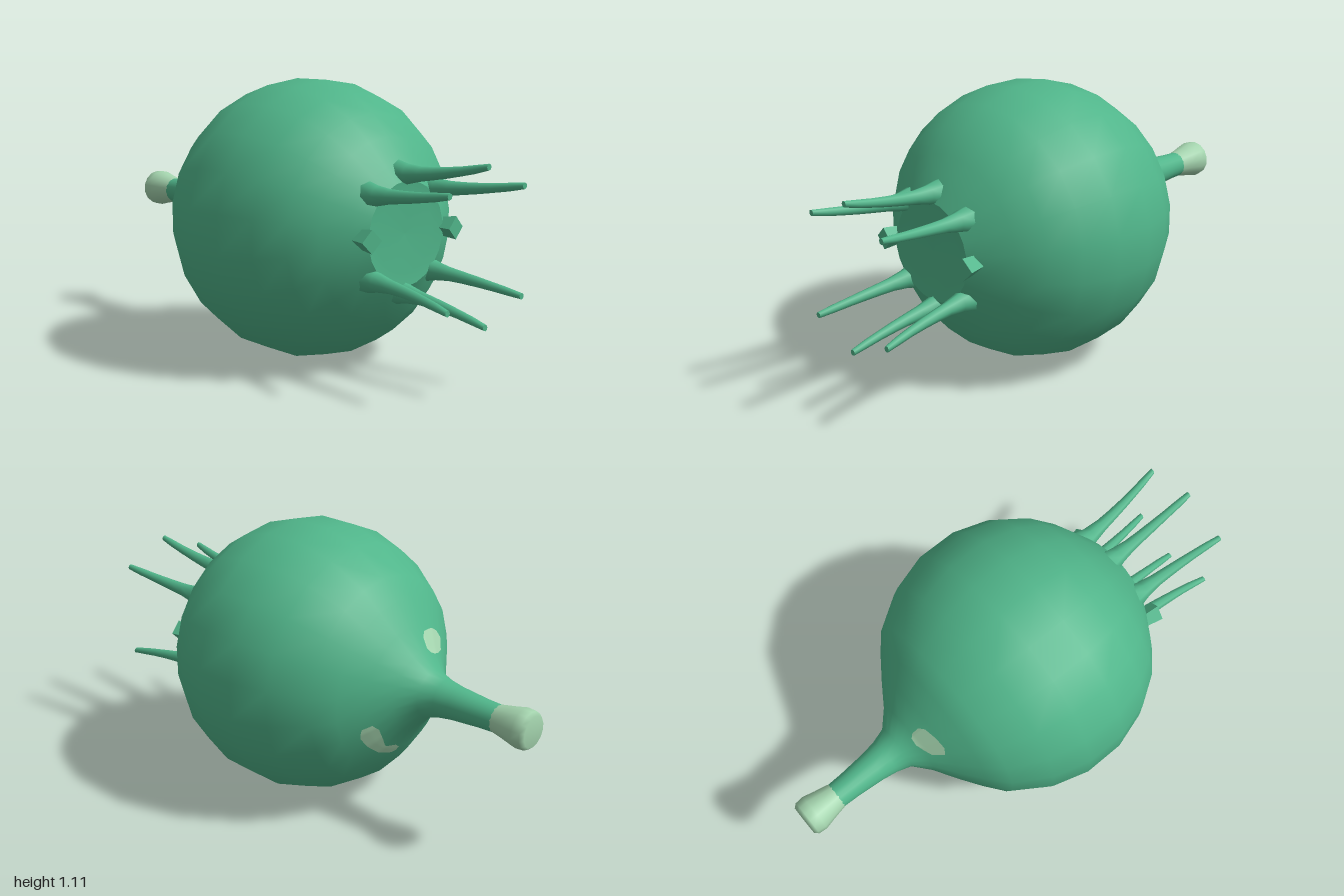
import * as THREE from 'three';

const green = new THREE.MeshStandardMaterial({ color: 0x50b58a });
green.name = 'green';
const pale = new THREE.MeshStandardMaterial({ color: 0xa4d4ae });
pale.name = 'paleGreen';

const SIDES = 22;
const CY = 0.56; // height of the body axis

// Body outline as [radius, z], from the stem forward to the mouth rim
const bodyProfile = [
  [0.053, -0.855], [0.056, -0.78], [0.066, -0.66], [0.076, -0.6], [0.095, -0.54], [0.16, -0.48],
  [0.25, -0.42], [0.34, -0.355], [0.42, -0.29], [0.51, -0.15], [0.555, 0], [0.555, 0.17],
  [0.51, 0.32], [0.44, 0.43], [0.355, 0.51], [0.26, 0.575], [0.2, 0.612],
];

// The stem sits slightly above the body axis
const lift = (z) => 0.013 * THREE.MathUtils.smoothstep(-z, 0.36, 0.54);

// Turn an outline around the z axis
function turned(profile, sides) {
  const geo = new THREE.LatheGeometry(profile.map(([r, z]) => new THREE.Vector2(r, z)), sides);
  geo.rotateX(Math.PI / 2);
  const p = geo.attributes.position;
  for (let i = 0; i < p.count; i++) p.setY(i, p.getY(i) + CY + lift(p.getZ(i)));
  return geo;
}

// Point on the faceted body; angle runs from +x towards +y
function bodyPoint(angle, z, offset) {
  let i = 0;
  while (z > bodyProfile[i + 1][1]) i++;
  const [r0, z0] = bodyProfile[i];
  const [r1, z1] = bodyProfile[i + 1];
  const r = r0 + ((r1 - r0) * (z - z0)) / (z1 - z0);
  const step = (2 * Math.PI) / SIDES;
  const local = THREE.MathUtils.euclideanModulo(angle - Math.PI / 2, step) - step / 2;
  const d = (r * Math.cos(step / 2)) / Math.cos(local) + offset;
  return [d * Math.cos(angle), CY + lift(z) + d * Math.sin(angle), z - offset];
}

// Thin painted patch: rows of [angle in degrees, z at the back, z at the front]
function patch(rows) {
  const n = 24, m = 8;
  const geo = new THREE.PlaneGeometry(1, 1, n, m);
  const p = geo.attributes.position;
  for (let j = 0; j <= m; j++) {
    for (let i = 0; i <= n; i++) {
      const s = (i / n) * (rows.length - 1);
      const k = Math.min(Math.floor(s), rows.length - 2);
      const [a, zb, zf] = rows[k].map((v, c) => THREE.MathUtils.lerp(v, rows[k + 1][c], s - k));
      const z = THREE.MathUtils.lerp(zb, zf, 1 - j / m);
      p.setXYZ(j * (n + 1) + i, ...bodyPoint(THREE.MathUtils.degToRad(a), z, 0.003));
    }
  }
  // rows run by rising angle, so reverse the corners to face outwards where needed
  geo.computeVertexNormals();
  const nz = geo.attributes.normal.getZ(Math.floor(p.count / 2));
  if (nz > 0) {
    const idx = geo.index.array;
    for (let i = 0; i < idx.length; i += 3) [idx[i], idx[i + 1]] = [idx[i + 1], idx[i]];
    geo.computeVertexNormals();
  }
  return geo;
}

// Tapered tentacle that leans outwards as it runs forward
function tentacle(angle) {
  const z0 = 0.555, len = 0.44, rows = 7;
  const widths = [0.055, 0.038, 0.028, 0.024, 0.021, 0.018, 0.016, 0.012];
  const geo = new THREE.CylinderGeometry(1, 1, len, 8, rows);
  geo.rotateX(Math.PI / 2);
  const p = geo.attributes.position;
  for (let i = 0; i < p.count; i++) {
    const t = p.getZ(i) / len + 0.5;
    const w = widths[Math.round(t * rows)];
    const out = 0.222 + 0.02 * t + 0.043 * t * t;
    p.setXYZ(i, p.getX(i) * w + out * Math.cos(angle),
      CY + p.getY(i) * w + out * Math.sin(angle), z0 + t * len);
  }
  geo.computeVertexNormals();
  return geo;
}

export function createModel() {
  const group = new THREE.Group();
  const add = (name, geo, mat) => {
    const mesh = new THREE.Mesh(geo, mat);
    mesh.name = name;
    group.add(mesh);
    return mesh;
  };

  // Round body that narrows into the stem
  add('body', turned(bodyProfile, SIDES), green);

  // Shallow closed mouth, scalloped between the tentacles
  const mouth = turned([[0.2, 0.612], [0.15, 0.606], [0, 0.602]], SIDES);
  add('mouth', mouth, green);

  // Pale flared knob at the end of the stem
  add('stemKnob', turned([[0, -1], [0.062, -1], [0.075, -0.985], [0.078, -0.95],
    [0.066, -0.9], [0.056, -0.85], [0.053, -0.84]], 14), pale);

  // Six long tentacles around the mouth, and a short stump on each side
  for (let k = 0; k < 8; k++) {
    const angle = (k * Math.PI) / 4;
    if (k % 4 !== 0) {
      add('tentacle', tentacle(angle), green);
    } else {
      const geo = new THREE.CylinderGeometry(0.045, 0.032, 0.11, 4).toNonIndexed();
      geo.rotateX(Math.PI / 2);
      geo.computeVertexNormals();
      const stump = add('stump', geo, green);
      stump.position.set(Math.cos(angle) * 0.22, CY + 0.003, 0.602);
      stump.rotation.y = Math.cos(angle) * 0.12;
    }
  }

  // Pale spots behind the body
  add('upperSpot', patch([[103, -0.475, -0.45], [108, -0.488, -0.435], [120, -0.49, -0.425],
    [132, -0.478, -0.42], [140, -0.465, -0.43]]), pale);
  add('lowerSpot', patch([[-78, -0.425, -0.41], [-70, -0.433, -0.405], [-56, -0.425, -0.402],
    [-42, -0.437, -0.4], [-28, -0.44, -0.395], [-20, -0.43, -0.405]]), pale);

  return group;
}
